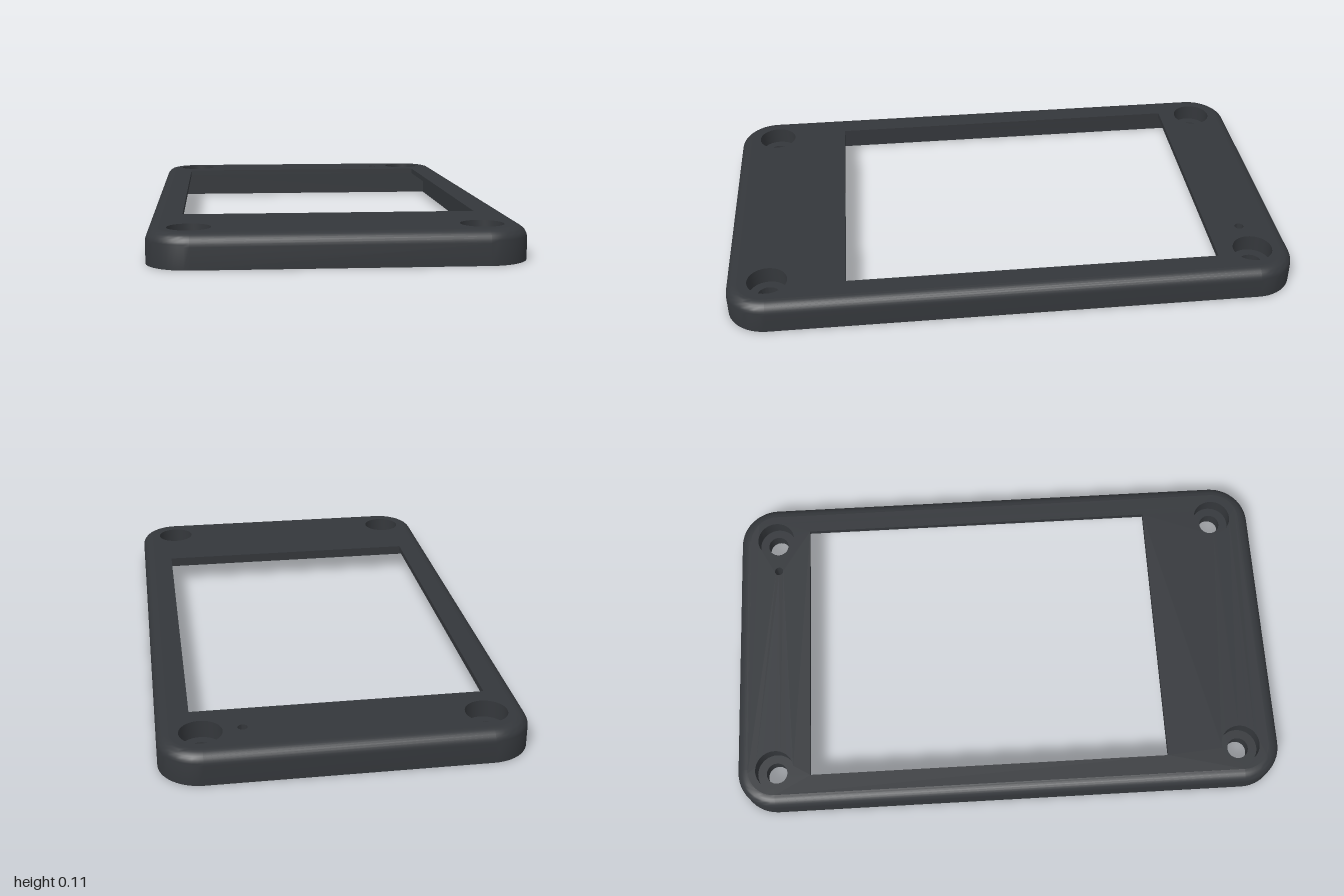
import * as THREE from 'three';
import { mergeGeometries, toCreasedNormals } from 'three/addons/utils/BufferGeometryUtils.js';

const HEIGHT = 0.11, CEILING = 0.09, SEAT = 0.05, FILLET = 0.04;

// Plan outlines run counter-clockwise in (x, -z)
function circle(x, z, r, n = 40) {
  return Array.from({ length: n }, (_, i) => {
    const a = (i / n) * Math.PI * 2;
    return new THREE.Vector2(x + r * Math.cos(a), -z + r * Math.sin(a));
  });
}

function rect(x0, x1, z0, z1) {
  return [[x0, z1], [x1, z1], [x1, z0], [x0, z0]].map(([x, z]) => new THREE.Vector2(x, -z));
}

function roundedRect(hx, hz, r, n = 12) {
  const pts = [];
  [[1, 1], [-1, 1], [-1, -1], [1, -1]].forEach(([sx, sv], q) => {
    for (let i = 0; i <= n; i++) {
      const a = (q + i / n) * Math.PI / 2;
      pts.push(new THREE.Vector2(sx * (hx - r) + r * Math.cos(a), sv * (hz - r) + r * Math.sin(a)));
    }
  });
  return pts;
}

// Side surface through stacked outlines; inward = true makes the wall of a hole
function wall(rings, inward = false) {
  const n = rings[0].pts.length, pos = [], index = [];
  for (const { pts, y } of rings) for (const p of pts) pos.push(p.x, y, -p.y);
  for (let k = 0; k < rings.length - 1; k++) {
    for (let i = 0; i < n; i++) {
      const a = k * n + i, b = k * n + (i + 1) % n, c = b + n, d = a + n;
      if (inward) index.push(a, c, b, a, d, c);
      else index.push(a, b, c, a, c, d);
    }
  }
  const g = new THREE.BufferGeometry();
  g.setAttribute('position', new THREE.Float32BufferAttribute(pos, 3));
  g.setIndex(index);
  return toCreasedNormals(g.toNonIndexed(), 0.6);
}

const holeWall = (pts, y0, y1) => wall([{ pts, y: y0 }, { pts, y: y1 }], true);

// Flat face with holes, facing up or down
function face(outline, holes, y, down = false) {
  const shape = new THREE.Shape(outline);
  shape.holes = holes.map((h) => new THREE.Path(h));
  const g = new THREE.ShapeGeometry(shape);
  g.rotateX(-Math.PI / 2).translate(0, y, 0);
  if (down) g.index.array.reverse();
  g.deleteAttribute('uv');
  const flat = g.toNonIndexed();
  flat.computeVertexNormals();
  return flat;
}

export function createModel() {
  const group = new THREE.Group();
  group.name = 'displayBezel';
  const material = new THREE.MeshStandardMaterial({ color: 0x34373b });
  const add = (name, ...parts) => {
    const mesh = new THREE.Mesh(mergeGeometries(parts), material);
    mesh.name = name;
    group.add(mesh);
  };

  const outline = (inset) => roundedRect(0.6 - inset, 1 - inset, 0.14 - inset);
  const window_ = rect(-0.492, 0.49, -0.73, 0.585);
  const pocket = rect(-0.55, 0.55, -0.775, 0.765);
  const indicator = circle(0.326, -0.85, 0.016, 24);
  const screws = [];
  for (const x of [-0.465, 0.46]) for (const z of [-0.862, 0.856]) screws.push([x, z]);
  const bores = screws.map(([x, z]) => circle(x, z, 0.038));
  const counterbores = screws.map(([x, z]) => circle(x, z, 0.07));

  // Outer side with a rounded top edge
  const rings = [{ pts: outline(0), y: 0 }];
  for (let i = 0; i <= 8; i++) {
    const a = (i / 8) * Math.PI / 2;
    rings.push({ pts: outline(FILLET * (1 - Math.cos(a))), y: HEIGHT - FILLET + FILLET * Math.sin(a) });
  }
  add('outerRim', wall(rings));

  add('topFace', face(outline(FILLET), [window_, indicator, ...counterbores], HEIGHT));
  add('bottomFace', face(outline(0), [pocket, indicator, ...bores], 0, true));

  // Window opening and the wider pocket beneath it
  add('windowEdge', holeWall(window_, CEILING, HEIGHT));
  add('screenPocket', holeWall(pocket, 0, CEILING), face(pocket, [window_], CEILING, true));

  // Counterbored screw holes at the corners
  screws.forEach((_, i) => add('screwHole' + (i + 1),
    holeWall(counterbores[i], SEAT, HEIGHT),
    face(counterbores[i], [bores[i]], SEAT),
    holeWall(bores[i], 0, SEAT)));

  add('indicatorHole', holeWall(indicator, 0, HEIGHT));
  return group;
}
